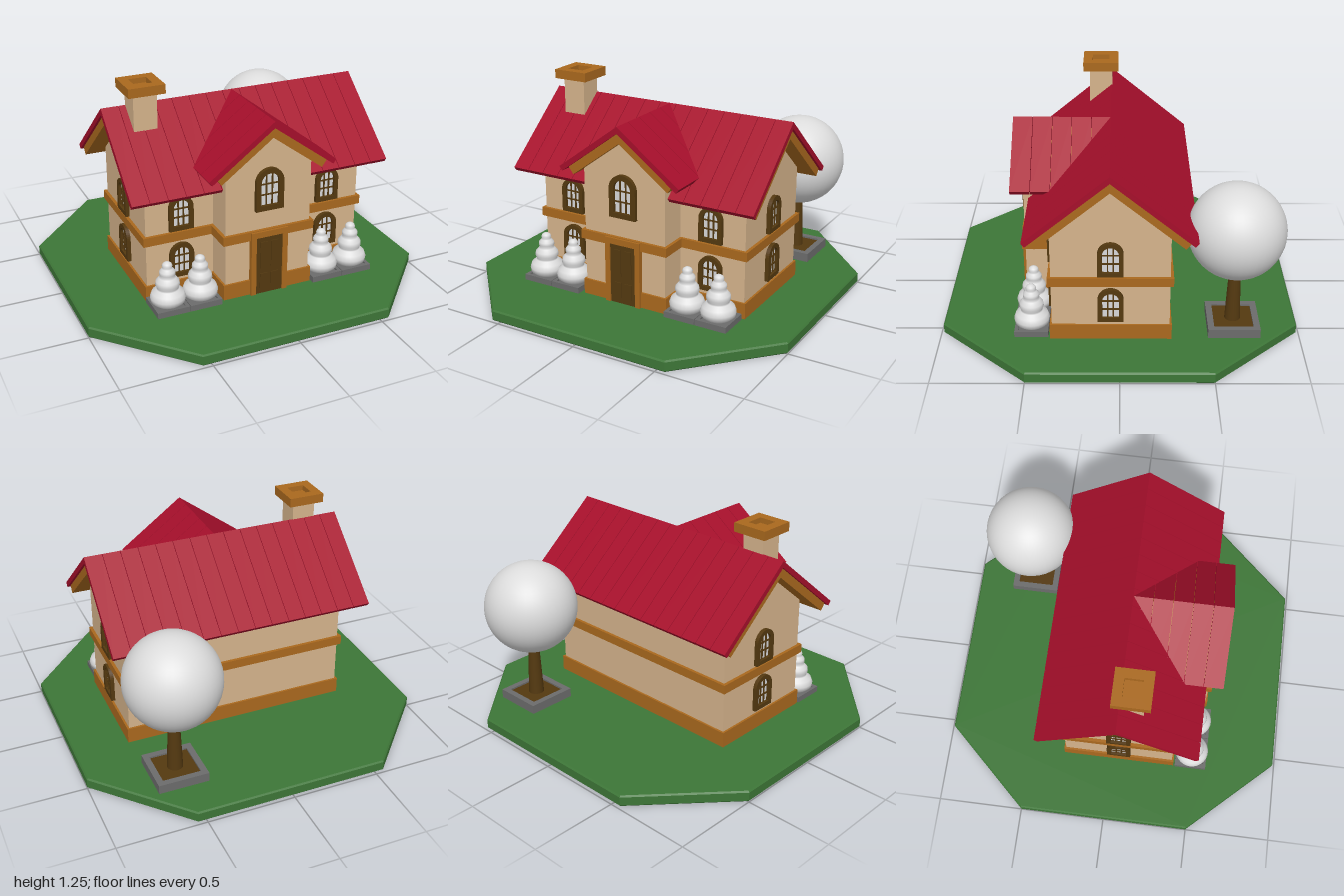
import * as THREE from 'three';

const mat = (name, color, side = THREE.FrontSide) => {
  const m = new THREE.MeshStandardMaterial({ color, side });
  m.name = name;
  return m;
};

export function createModel() {
  const root = new THREE.Group();
  root.name = 'countryHouse';
  const M = {
    grass: mat('grassGreen', 0x3d7637),
    wall: mat('plasterTan', 0xd6b48c),
    trim: mat('trimBrown', 0xaa691e),
    wood: mat('darkWood', 0x543910),
    roof: mat('roofRed', 0xa60f2b),
    stone: mat('stoneGrey', 0x6c6c6c),
    white: mat('paleFoliage', 0xdcdcdc),
    glass: mat('paleGlass', 0xd8d8da),
  };
  const CX = 0.03, CZ = 0.05, BASE = 0.065; // house centre and ground level

  const add = (parent, name, geo, material, x = 0, y = 0, z = 0) => {
    const mesh = new THREE.Mesh(geo, material);
    mesh.name = name;
    mesh.position.set(x, y, z);
    parent.add(mesh);
    return mesh;
  };
  // box given by its extents
  const box = (parent, name, material, x0, x1, y0, y1, z0, z1) =>
    add(parent, name, new THREE.BoxGeometry(x1 - x0, y1 - y0, z1 - z0), material,
      (x0 + x1) / 2, (y0 + y1) / 2, (z0 + z1) / 2);
  const poly = (pts) => new THREE.Shape(pts.map(([x, y]) => new THREE.Vector2(x, y)));
  const extrude = (shape, depth) =>
    new THREE.ExtrudeGeometry(shape, { depth, bevelEnabled: false, curveSegments: 10 });
  const rectHole = (w, h) => {
    const p = new THREE.Path();
    p.moveTo(-w, -h); p.lineTo(-w, h); p.lineTo(w, h); p.lineTo(w, -h); p.closePath();
    return p;
  };
  // inverted V with square-cut eaves
  const chevron = (w, top, s, t) => {
    const k = t / (1 + s * s), ey = top - s * w;
    return poly([[0, top], [-w, ey], [-w + s * k, ey - k], [0, top - t], [w - s * k, ey - k], [w, ey]]);
  };
  const gableWall = (w, apex, s) =>
    poly([[-w, BASE], [w, BASE], [w, apex - s * w], [0, apex], [-w, apex - s * w]]);

  // ground: octagonal slab with a small bevel
  const b = 0.008;
  const oct = [[1, 0.5], [0.55, 0.985], [-0.55, 0.985], [-1, 0.5], [-1, -0.5], [-0.55, -0.985], [0.55, -0.985], [1, -0.5]];
  const slab = new THREE.ExtrudeGeometry(poly(oct.map(([x, y]) => [x * (1 - b), y * (1 - b)])),
    { depth: BASE - 2 * b, bevelSize: b, bevelThickness: b, bevelSegments: 1 });
  slab.rotateX(-Math.PI / 2);
  add(root, 'ground', slab, M.grass, 0, b, 0);

  // walls
  const S = 0.83, G = 0.74; // main and front roof slopes
  const house = new THREE.Group();
  house.name = 'house';
  root.add(house);
  const mainWall = extrude(gableWall(0.32, 1.01, S), 1.3);
  mainWall.rotateY(Math.PI / 2);
  add(house, 'mainWalls', mainWall, M.wall, CX - 0.65, 0, CZ);
  add(house, 'frontGableWalls', extrude(gableWall(0.255, 1.01, G), 0.335), M.wall, CX, 0, 0.2);

  // plinth and middle band wrap both volumes
  for (const [name, y0, y1, e] of [['plinth', BASE, 0.155, 0.012], ['middleBand', 0.403, 0.455, 0.018]]) {
    box(house, name, M.trim, CX - 0.65 - e, CX + 0.65 + e, y0, y1, CZ - 0.32 - e, CZ + 0.32 + e);
    box(house, name + 'Front', M.trim, CX - 0.255 - e, CX + 0.255 + e, y0, y1, 0.2, 0.535 + e);
  }

  // main roof: brown boarding below, red panels above
  const boards = extrude(chevron(0.42, 1.06, S, 0.06), 1.49);
  boards.rotateY(Math.PI / 2);
  add(house, 'roofBoards', boards, M.trim, -0.72, 0, CZ);
  const step = 1.52 / 15, gap = 0.003;
  for (let i = 0; i < 15; i++) {
    const g = extrude(chevron(0.457, 1.098, S, 0.038), step - (i < 14 ? gap : 0));
    g.rotateY(Math.PI / 2);
    add(house, 'roofPanel', g, M.roof, -0.735 + i * step, 0, CZ);
  }

  // front gable roof, running back into the main roof
  add(house, 'frontRoofBoards', extrude(chevron(0.325, 1.06, G, 0.06), 0.48), M.trim, CX, 0, 0.1);
  const fStep = 0.545 / 5;
  for (let i = 0; i < 5; i++)
    add(house, 'frontRoofPanel', extrude(chevron(0.375, 1.097, G, 0.037), fStep - (i < 4 ? gap : 0)),
      M.roof, CX, 0, 0.052 + i * fStep);

  // chimney with a hollow cap
  box(house, 'chimney', M.wall, -0.597, -0.463, 0.9, 1.21, 0.048, 0.182);
  const cap = poly([[-0.104, -0.104], [0.104, -0.104], [0.104, 0.104], [-0.104, 0.104]]);
  cap.holes.push(rectHole(0.05, 0.05));
  const capGeo = extrude(cap, 0.052);
  capGeo.rotateX(-Math.PI / 2);
  add(house, 'chimneyCap', capGeo, M.trim, -0.53, 1.193, 0.115);
  box(house, 'chimneyFlue', M.trim, -0.58, -0.48, 1.205, 1.215, 0.065, 0.165);

  // arched window facing +z, origin at the middle of its sill
  const arch = (Type, w, h, y0) => {
    const p = new Type();
    p.moveTo(-w, y0); p.lineTo(w, y0); p.lineTo(w, h - w);
    p.absarc(0, h - w, w, 0, Math.PI, false);
    p.closePath();
    return p;
  };
  const makeWindow = (w, h, x, y, z, turn = 0) => {
    const g = new THREE.Group();
    g.name = 'window';
    const f = w * 0.36, iw = w - f, ih = h - f;
    const frame = arch(THREE.Shape, w, h, 0);
    frame.holes.push(arch(THREE.Path, iw, ih, f));
    add(g, 'windowFrame', extrude(frame, 0.025), M.wood, 0, 0, -0.003);
    add(g, 'windowPane', extrude(arch(THREE.Shape, iw, ih, f), 0.005), M.glass);
    const t = 0.0035;
    for (const s of [-1, 1])
      box(g, 'windowBar', M.wood, s * iw / 3 - t, s * iw / 3 + t, f, ih - 0.06 * iw, 0.003, 0.012);
    for (const k of [0.33, 0.66]) {
      const yb = f + (ih - f) * k;
      box(g, 'windowBar', M.wood, -iw, iw, yb - t, yb + t, 0.003, 0.012);
    }
    g.position.set(x, y, z);
    g.rotation.y = turn;
    house.add(g);
  };
  for (const y of [0.182, 0.465]) {
    for (const s of [-1, 1]) {
      makeWindow(0.07, 0.203, CX + s * 0.447, y, CZ + 0.32);
      makeWindow(0.07, 0.203, CX + s * 0.65, y, CZ, s * Math.PI / 2);
    }
  }
  makeWindow(0.083, 0.247, CX, 0.57, 0.535);

  // front door
  const door = new THREE.Group();
  door.name = 'frontDoor';
  house.add(door);
  for (const s of [-1, 1])
    add(door, 'doorPost', new THREE.BoxGeometry(0.03, 0.385, 0.035), M.trim, CX + s * 0.095, BASE + 0.1925, 0.547);
  box(door, 'doorLintel', M.trim, CX - 0.08, CX + 0.08, 0.415, 0.45, 0.53, 0.5645);
  box(door, 'doorLeaf', M.wood, CX - 0.08, CX + 0.08, BASE, 0.415, 0.53, 0.557);
  for (const s of [-1, 1])
    for (const [y0, y1] of [[0.1, 0.19], [0.225, 0.385]])
      box(door, 'doorPanel', M.wood, CX + s * 0.033 - 0.022, CX + s * 0.033 + 0.022, y0, y1, 0.55, 0.562);

  // square stone planter filled with a flat bed
  const planter = (parent, half, rim, h, bed) => {
    const sh = poly([[-half, -half], [half, -half], [half, half], [-half, half]]);
    sh.holes.push(rectHole(half - rim, half - rim));
    const g = extrude(sh, h);
    g.rotateX(-Math.PI / 2);
    add(parent, 'planterRim', g, M.stone);
    const r = half - rim;
    box(parent, 'planterBed', bed, -r, r, 0, h - 0.01, -r, r);
  };

  // four tiered bushes
  const tier = [[0.001, 0.025], [0.07, 0.03], [0.094, 0.05], [0.098, 0.075], [0.088, 0.102], [0.062, 0.122],
    [0.058, 0.13], [0.067, 0.148], [0.064, 0.17], [0.047, 0.19], [0.038, 0.198], [0.045, 0.212], [0.043, 0.228],
    [0.03, 0.243], [0.025, 0.25], [0.029, 0.26], [0.024, 0.272], [0.012, 0.28], [0.0, 0.282]]
    .map(([x, y]) => new THREE.Vector2(x, y));
  const bushGeo = new THREE.LatheGeometry(tier, 28);
  for (const x of [-0.543, -0.353, 0.395, 0.585]) {
    const bush = new THREE.Group();
    bush.name = 'bush';
    bush.position.set(x, BASE, 0.485);
    planter(bush, 0.093, 0.02, 0.034, M.stone);
    add(bush, 'bushFoliage', bushGeo, M.white);
    root.add(bush);
  }

  // round tree behind the house
  const tree = new THREE.Group();
  tree.name = 'tree';
  tree.position.set(0.54, BASE, -0.625);
  planter(tree, 0.143, 0.035, 0.052, M.wood);
  add(tree, 'treeTrunk', new THREE.CylinderGeometry(0.03, 0.046, 0.38, 20), M.wood, 0, 0.19, 0);
  add(tree, 'treeCrown', new THREE.SphereGeometry(0.266, 40, 28), M.white, 0, 0.595, 0);
  root.add(tree);

  return root;
}
